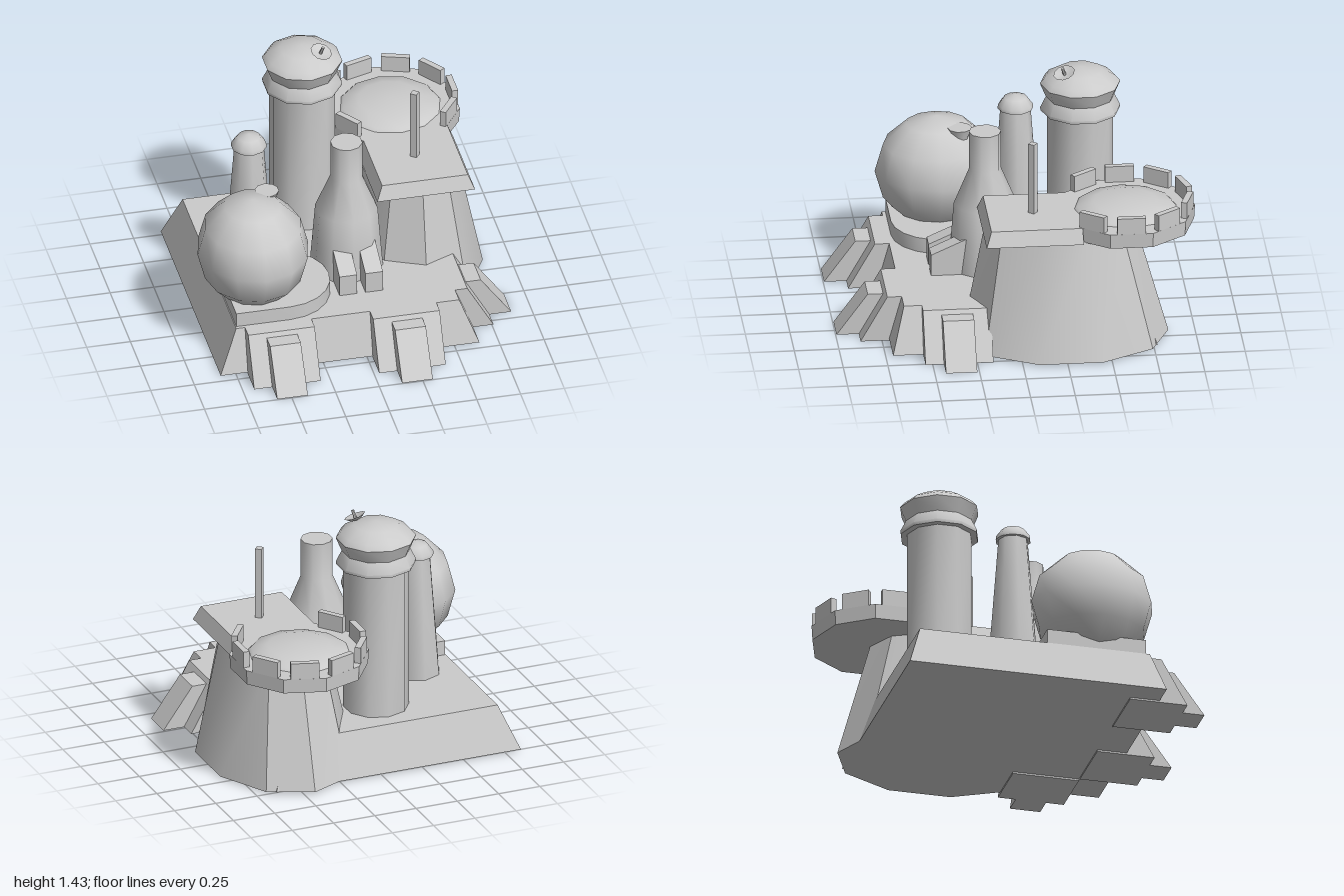
import * as THREE from 'three';
import { toCreasedNormals } from 'three/addons/utils/BufferGeometryUtils.js';

const grey = new THREE.MeshStandardMaterial({ color: 0xcccccc });
const greyThin = new THREE.MeshStandardMaterial({ color: 0xcccccc, side: THREE.DoubleSide });

export function createModel() {
  const root = new THREE.Group();

  const add = (name, geo, x = 0, y = 0, z = 0, { crease = 0.3, parent = root, material = grey } = {}) => {
    const mesh = new THREE.Mesh(toCreasedNormals(geo, crease), material);
    mesh.name = name;
    mesh.position.set(x, y, z);
    parent.add(mesh);
    return mesh;
  };

  // Box whose top and bottom rectangles differ; each is [x0, x1, z0, z1]
  const taperedBox = (y0, y1, bottom, top) => {
    const geo = new THREE.BoxGeometry(1, 1, 1);
    const p = geo.attributes.position;
    for (let i = 0; i < p.count; i++) {
      const up = p.getY(i) > 0;
      const r = up ? top : bottom;
      p.setXYZ(i, p.getX(i) < 0 ? r[0] : r[1], up ? y1 : y0, p.getZ(i) < 0 ? r[2] : r[3]);
    }
    return geo;
  };

  // Side outline of [z, y] points, extruded across x
  const prism = (outline, width) => {
    const shape = new THREE.Shape(outline.map(([z, y]) => new THREE.Vector2(z, y)));
    return new THREE.ExtrudeGeometry(shape, { depth: width, bevelEnabled: false })
      .translate(0, 0, -width / 2).rotateY(-Math.PI / 2);
  };

  const lathe = (points, sides) =>
    new THREE.LatheGeometry(points.map(([r, y]) => new THREE.Vector2(r, y)), sides);

  // Sloped foundation
  add('foundation', taperedBox(0.01, 0.265, [-0.84, 0.64, -0.77, 0.71], [-0.735, 0.54, -0.685, 0.64]));

  // Stepped buttresses, two at the front and one on the left side
  const buttress = (x, z, turn) => {
    const group = new THREE.Group();
    group.name = 'buttress';
    add('wideStep', prism([[-0.1, 0], [0.23, 0], [0.08, 0.265], [-0.1, 0.265]], 0.38), 0, 0, 0, { parent: group });
    add('narrowStep', prism([[0, 0], [0.355, 0], [0.18, 0.24], [0, 0.24]], 0.175), 0, 0, 0, { parent: group });
    group.position.set(x, 0, z);
    group.rotation.y = turn;
    root.add(group);
  };
  buttress(-0.495, 0.64, 0);
  buttress(0.22, 0.64, 0);
  buttress(0.53, 0.35, Math.PI / 2);

  // Ten-sided oval keep, narrowing upwards
  const keep = new THREE.CylinderGeometry(1, 1, 1, 10);
  const kp = keep.attributes.position;
  for (let i = 0; i < kp.count; i++) {
    const up = kp.getY(i) > 0;
    kp.setXYZ(i, 0.44 + kp.getX(i) * (up ? 0.28 : 0.425), up ? 0.69 : 0.01,
      (up ? -0.24 : -0.27) + kp.getZ(i) * (up ? 0.42 : 0.58));
  }
  add('keep', keep, 0, 0, 0, { crease: 0.5 });

  // Square platform and mast
  add('platform', taperedBox(0.685, 0.77, [0.175, 0.735, -0.35, 0.195], [0.21, 0.70, -0.345, 0.165]));
  add('mast', new THREE.CylinderGeometry(0.027, 0.027, 0.42, 4).rotateY(0.12), 0.455, 0.98, -0.09);

  // Round battlement with blocks on the edges clear of the platform
  const roof = new THREE.Group();
  roof.name = 'battlement';
  roof.position.set(0.435, 0, -0.61);
  root.add(roof);
  add('disc', new THREE.CylinderGeometry(0.39, 0.385, 0.085, 10), 0, 0.7275, 0, { parent: roof });
  for (let i = 1; i < 9; i++) {
    const a = (i + 0.5) * Math.PI / 5;
    const block = add('merlon', new THREE.BoxGeometry(0.16, 0.1, 0.035),
      Math.sin(a) * 0.353, 0.815, Math.cos(a) * 0.353, { parent: roof });
    block.rotation.y = a;
  }
  add('lowDome', lathe([[0.29, 0.765], [0.27, 0.785], [0.18, 0.81], [0, 0.825]], 12), 0, 0, 0, { crease: 0.9, parent: roof });

  // Pad with one rounded end under the round tank
  const pad = new THREE.Shape();
  pad.moveTo(-0.73, -0.62);
  pad.lineTo(-0.42, -0.62);
  pad.absarc(-0.42, -0.335, 0.285, -Math.PI / 2, Math.PI / 2, false);
  pad.lineTo(-0.73, -0.05);
  add('tankPad', new THREE.ExtrudeGeometry(pad, { depth: 0.09, bevelEnabled: false, curveSegments: 5 })
    .rotateX(-Math.PI / 2), 0, 0.26, 0, { crease: 0.7 });

  // Round tank with hatch
  add('roundTank', new THREE.SphereGeometry(1, 12, 6).scale(0.315, 0.325, 0.348), -0.573, 0.59, 0.348, { crease: 0.8 });
  add('hatch', new THREE.CylinderGeometry(0.068, 0.045, 0.07, 10), -0.465, 0.85, 0.23, { crease: 0.8 });

  // Slim chimney with rounded cap
  add('chimney', lathe([[0.14, 0.26], [0.1, 0.78], [0.085, 0.98]], 8), -0.495, 0, -0.085, { crease: 0.9 });
  add('chimneyCap', lathe([[0, 0.975], [0.1, 0.98], [0.098, 1.0], [0.065, 1.045], [0, 1.062]], 10),
    -0.495, 0, -0.085, { crease: 0.8 });

  // Watchtower with waisted head
  add('watchtower', new THREE.CylinderGeometry(0.185, 0.185, 0.89, 10), -0.115, 0.705, -0.41, { crease: 0.8 });
  add('watchtowerHead', lathe([[0, 1.13], [0.222, 1.132], [0.224, 1.15], [0.192, 1.215], [0.225, 1.295], [0.2, 1.325],
    [0.125, 1.37], [0, 1.39]], 10), -0.115, 0, -0.41, { crease: 0.65 });

  // Tilted dish
  const dish = new THREE.Group();
  dish.name = 'dish';
  dish.position.set(-0.035, 1.368, -0.32);
  dish.rotation.set(0.3, 0, -0.25);
  root.add(dish);
  add('bowl', lathe([[0, 0], [0.035, 0.008], [0.062, 0.028], [0.03, 0.018], [0, 0.012]], 10), 0, 0, 0,
    { crease: 0.8, parent: dish, material: greyThin });
  add('feed', new THREE.CylinderGeometry(0.009, 0.009, 0.075, 6), 0, 0.025, 0, { parent: dish });

  // Bottle-shaped stack
  add('stack', lathe([[0.205, 0.26], [0.19, 0.45], [0.175, 0.645], [0.09, 0.85], [0.09, 1.075], [0, 1.075]], 10),
    0.012, 0, 0.135, { crease: 0.8 });

  // Twin sloped vents at the foot of the stack
  for (const x of [-0.05, 0.098]) {
    add('vent', prism([[0.15, 0.26], [0.45, 0.26], [0.45, 0.39], [0.26, 0.475], [0.15, 0.475]], 0.1), x, 0, 0);
  }

  return root;
}
